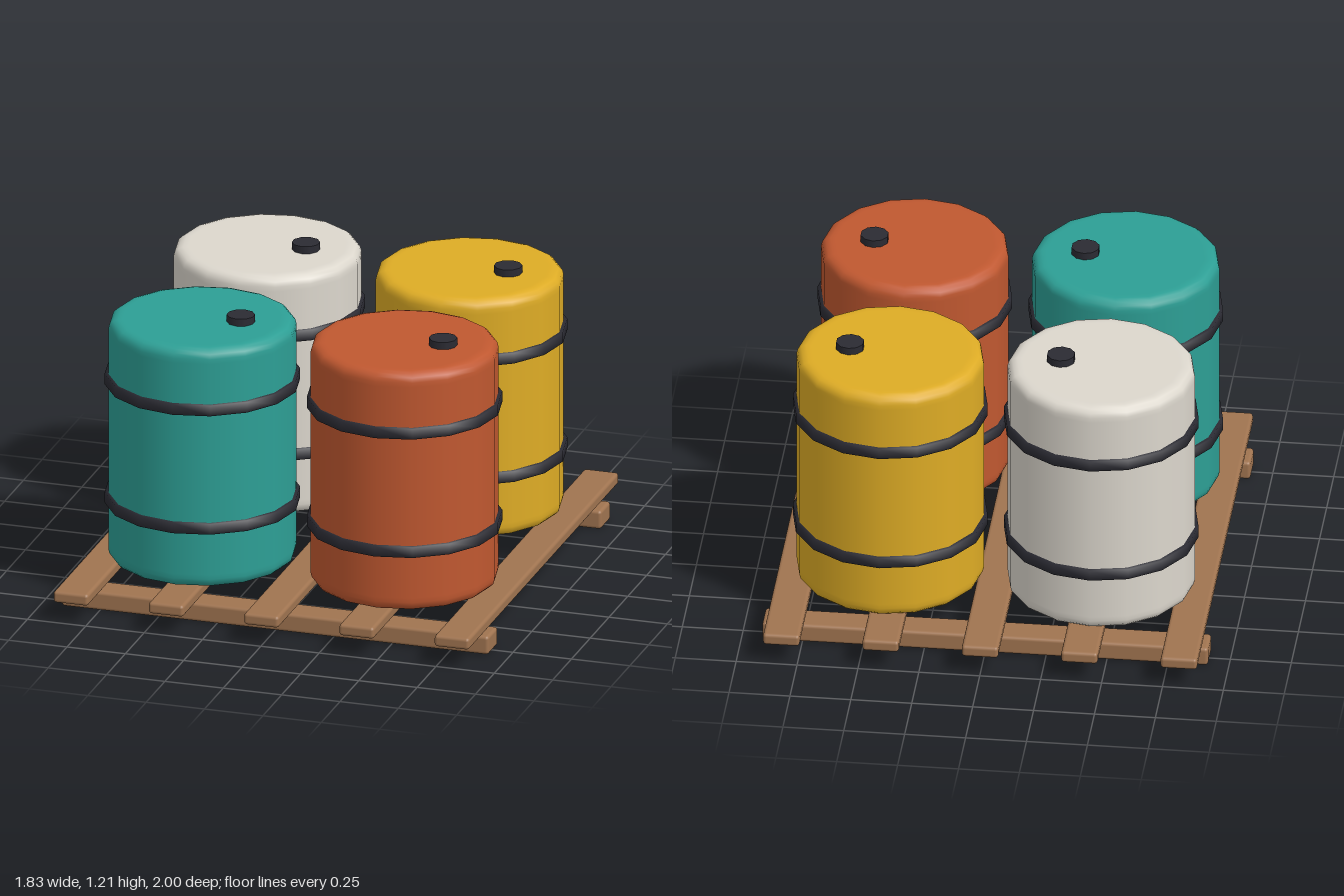
import * as THREE from 'three';
import { RoundedBoxGeometry } from 'three/addons/geometries/RoundedBoxGeometry.js';

const material = (name, color) => {
  const m = new THREE.MeshStandardMaterial({ color });
  m.name = name;
  return m;
};

const lathe = (profile, sides) =>
  new THREE.LatheGeometry(profile.map(([r, y]) => new THREE.Vector2(r, y)), sides);

export function createModel() {
  const model = new THREE.Group();
  model.name = 'drumsOnPallet';

  const wood = material('wood', 0xa07450);
  const dark = material('darkRubber', 0x2b2b33);

  const add = (parent, name, geometry, mat, x, y, z) => {
    const mesh = new THREE.Mesh(geometry, mat);
    mesh.name = name;
    mesh.position.set(x, y, z);
    parent.add(mesh);
    return mesh;
  };

  // Pallet: two runners across, five slats on top
  const pallet = new THREE.Group();
  pallet.name = 'pallet';
  model.add(pallet);
  const runner = new RoundedBoxGeometry(1.83, 0.08, 0.13, 2, 0.014);
  for (const z of [-0.75, 0.75]) add(pallet, 'runner', runner, wood, 0, 0.04, z);
  const slat = new RoundedBoxGeometry(0.15, 0.05, 2, 2, 0.014);
  for (let i = -2; i <= 2; i++) add(pallet, 'slat', slat, wood, i * 0.408, 0.11, 0);

  // Drum parts: body with rounded rims, two hoops and an off-centre bung
  const body = lathe([
    [0, 0.14], [0.325, 0.14], [0.345, 0.14], [0.365, 0.146], [0.38, 0.16], [0.385, 0.18],
    [0.385, 0.2], [0.385, 1.12],
    [0.385, 1.14], [0.38, 1.16], [0.365, 1.174], [0.345, 1.18], [0.325, 1.18], [0, 1.18],
  ], 16);
  const hoop = lathe([[0.375, -0.023], [0.4, -0.023], [0.4, 0.023], [0.375, 0.023]], 16);
  const bung = new THREE.CylinderGeometry(0.058, 0.058, 0.04, 10);

  const drums = [
    ['tealDrum', material('teal', 0x2d9f95), -1, 1],
    ['orangeDrum', material('orange', 0xc05830), 1, 1],
    ['whiteDrum', material('offWhite', 0xdcd7cd), -1, -1],
    ['yellowDrum', material('yellow', 0xdeac25), 1, -1],
  ];
  for (const [name, paint, sx, sz] of drums) {
    const drum = new THREE.Group();
    drum.name = name;
    drum.position.set(sx * 0.433, 0, sz * 0.433);
    add(drum, 'body', body, paint, 0, 0, 0);
    for (const y of [0.405, 0.922]) add(drum, 'hoop', hoop, dark, 0, y, 0);
    add(drum, 'bung', bung, dark, 0.165, 1.191, 0);
    model.add(drum);
  }

  return model;
}
